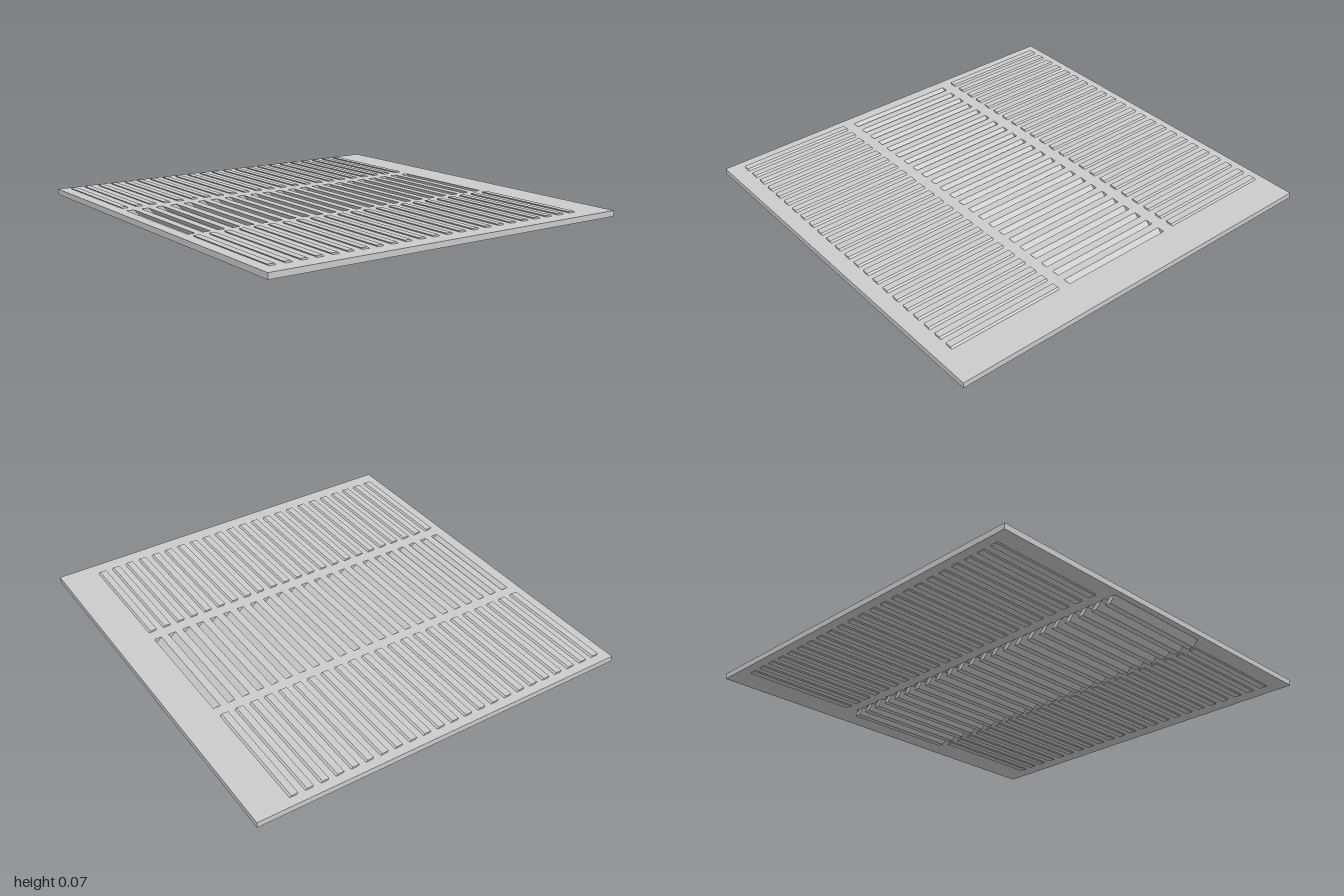
import * as THREE from 'three';

const COUNT = 23;
const PITCH = 0.075;
const PLATE_BOTTOM = 0.03, PLATE_TOP = 0.058;
const SLOT_X = -0.905, SLOT_W = 0.036, SLOT_Z0 = -0.31, SLOT_Z1 = 0.275;

const material = new THREE.MeshStandardMaterial({ color: 0xcccccc, flatShading: true });

function rect(target, x0, z0, x1, z1) {
  target.moveTo(x0, z0);
  target.lineTo(x1, z0);
  target.lineTo(x1, z1);
  target.lineTo(x0, z1);
  target.closePath();
  return target;
}

// Flat panel with a row of slots whose walls lean towards +x going down
function plateGeometry() {
  const shape = rect(new THREE.Shape(), -0.96, -1, 0.96, 1);
  for (let i = 0; i < COUNT; i++) {
    const x = SLOT_X + i * PITCH;
    shape.holes.push(rect(new THREE.Path(), x, SLOT_Z0, x + SLOT_W, SLOT_Z1));
  }
  const thickness = PLATE_TOP - PLATE_BOTTOM;
  const geo = new THREE.ExtrudeGeometry(shape, { depth: thickness, bevelEnabled: false });
  geo.rotateX(Math.PI / 2);
  geo.translate(0, PLATE_TOP, 0);
  const p = geo.attributes.position;
  for (let i = 0; i < p.count; i++) {
    const isSlot = Math.abs(p.getZ(i)) < 0.5;
    if (isSlot && p.getY(i) < PLATE_TOP - thickness / 2) p.setX(i, p.getX(i) + thickness);
  }
  geo.computeVertexNormals();
  return geo;
}

// Leaning slat: a parallelogram section run along z, x is its top left edge
function slatGeometry(width, yTop, yBottom, lean, z0, z1) {
  const s = new THREE.Shape();
  s.moveTo(0, yTop);
  s.lineTo(lean, yBottom);
  s.lineTo(lean + width, yBottom);
  s.lineTo(width, yTop);
  s.closePath();
  const geo = new THREE.ExtrudeGeometry(s, { depth: z1 - z0, bevelEnabled: false });
  geo.translate(0, 0, z0);
  return geo;
}

function slatRow(name, geo, startX, pitch) {
  const row = new THREE.Group();
  row.name = name;
  for (let i = 0; i < COUNT; i++) {
    const slat = new THREE.Mesh(geo, material);
    slat.name = 'slat';
    slat.position.x = startX + i * pitch;
    row.add(slat);
  }
  return row;
}

export function createModel() {
  const model = new THREE.Group();
  model.name = 'louvredPanel';

  const plate = new THREE.Mesh(plateGeometry(), material);
  plate.name = 'plate';
  model.add(plate);

  // Outer rows pass through the plate and stand proud on both faces
  const outer = (z0, z1) => slatGeometry(0.033, 0.066, 0.025, 0.041, z0, z1);
  model.add(slatRow('backSlats', outer(-0.955, -0.37), -0.911, PITCH));
  model.add(slatRow('frontSlats', outer(0.335, 0.92), -0.911, PITCH));

  // Middle row hangs below the slots at a slightly wider pitch
  const hanging = slatGeometry(0.029, PLATE_BOTTOM, 0, 0.028, SLOT_Z0, SLOT_Z1);
  model.add(slatRow('hangingSlats', hanging, -0.93, 0.0767));

  return model;
}
